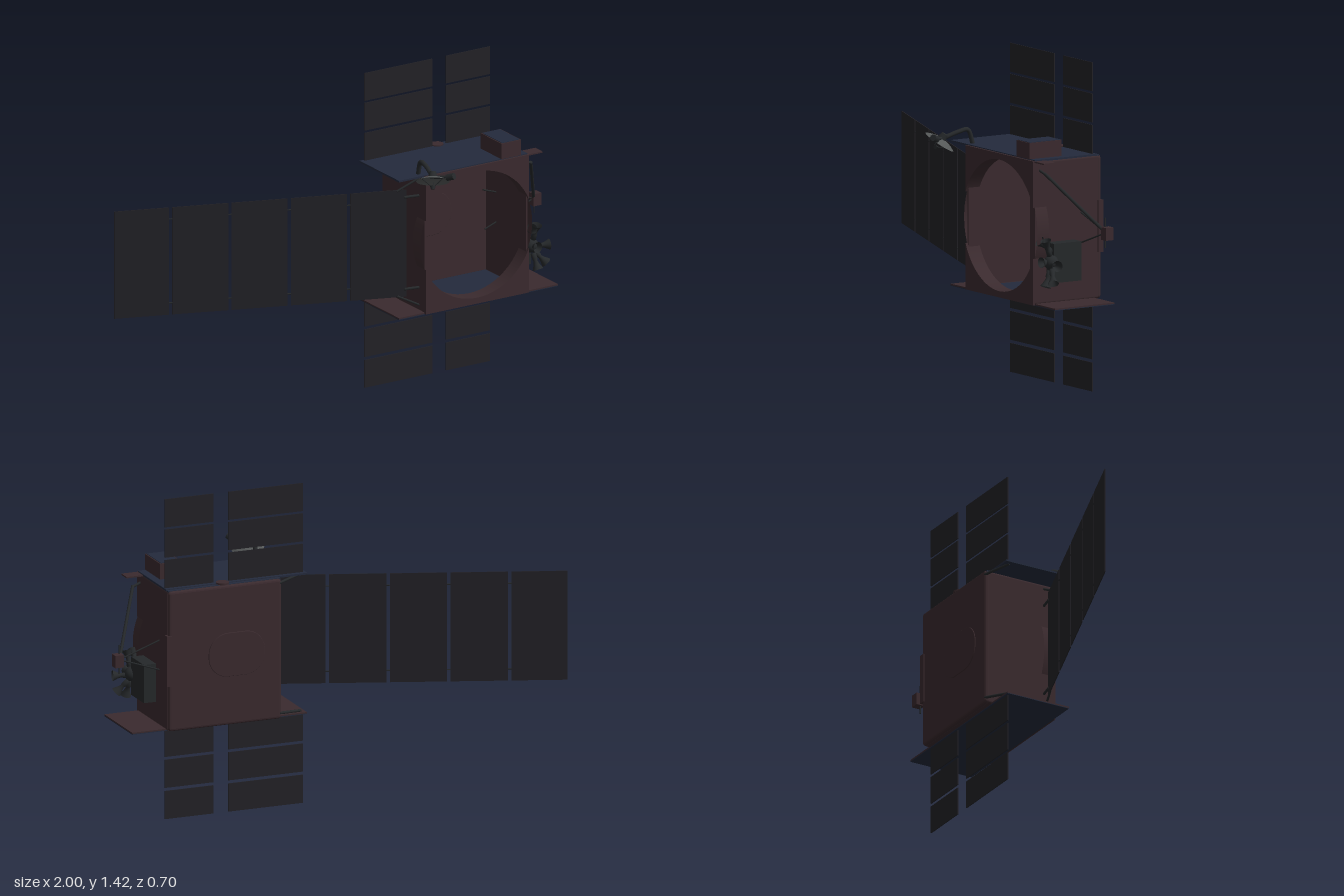
import * as THREE from 'three';

const mat = (color) => new THREE.MeshStandardMaterial({ color, side: THREE.DoubleSide });
const brown = mat(0x3a2a2e), blue = mat(0x232a3c), cell = mat(0x222126), dark = mat(0x25282a), grey = mat(0x555858);
const V = (x, y, z) => new THREE.Vector3(x, y, z);
const UP = V(0, 1, 0);

export function createModel() {
  const model = new THREE.Group();
  const add = (name, geometry, material, parent = model) => {
    const mesh = new THREE.Mesh(geometry, material);
    mesh.name = name;
    parent.add(mesh);
    return mesh;
  };
  // Box given by its lower and upper corner
  const box = (name, a, b, material, parent) => {
    const m = add(name, new THREE.BoxGeometry(b[0] - a[0], b[1] - a[1], b[2] - a[2]), material, parent);
    m.position.set((a[0] + b[0]) / 2, (a[1] + b[1]) / 2, (a[2] + b[2]) / 2);
    return m;
  };
  // Round bar between two points
  const strut = (name, a, b, r, material = dark, parent = model) => {
    const p = V(...a), q = V(...b), d = q.clone().sub(p);
    const m = add(name, new THREE.CylinderGeometry(r, r, d.length(), 8), material, parent);
    m.position.copy(p).add(q).multiplyScalar(0.5);
    m.quaternion.setFromUnitVectors(UP, d.normalize());
    return m;
  };
  const roundRect = (w, h, r, S = THREE.Shape) => {
    const s = new S();
    s.absarc(w - r, h - r, r, 0, Math.PI / 2);
    s.absarc(-w + r, h - r, r, Math.PI / 2, Math.PI);
    s.absarc(-w + r, -h + r, r, Math.PI, Math.PI * 1.5);
    s.absarc(w - r, -h + r, r, Math.PI * 1.5, Math.PI * 2);
    s.closePath();
    return s;
  };
  const extrude = (shape, depth, bevel = 0) => new THREE.ExtrudeGeometry(shape, {
    depth, curveSegments: 24, bevelEnabled: bevel > 0, bevelSize: bevel, bevelThickness: bevel, bevelSegments: 3, bevelOffset: -bevel,
  });

  // Hollow body
  const W = 0.2625, H = 0.312, R = 0.285;
  const body = new THREE.Group();
  body.name = 'body';
  body.position.set(0.523, 0.714, 0);
  model.add(body);
  const shell = roundRect(W, H, 0.012);
  shell.holes.push(roundRect(W - 0.008, H - 0.008, 0.006, THREE.Path));
  add('shellWalls', extrude(shell, 0.322), brown, body).position.z = -0.178;
  add('backWall', extrude(roundRect(W, H, 0.015), 0.002, 0.012), brown, body).position.z = -0.183;
  add('backHatch', extrude(roundRect(0.13, 0.097, 0.09), 0.028, 0.002), brown, body).position.set(-0.053, 0.003, -0.197);
  box('innerFloor', [-W + 0.01, -H + 0.009, -0.168], [W - 0.01, -H + 0.012, 0.14], blue, body);

  // Front frame in two halves around the round opening
  const meet = Math.acos(W / R);
  const half = new THREE.Shape();
  half.moveTo(-W, R * Math.sin(meet));
  half.lineTo(-W, H);
  half.lineTo(W, H);
  half.lineTo(W, R * Math.sin(meet));
  half.absarc(0, 0, R, meet, Math.PI - meet, false);
  for (const turn of [0, Math.PI]) {
    const frame = add('frontFrame', extrude(half, 0.01), brown, body);
    frame.position.z = 0.145;
    frame.rotation.z = turn;
  }
  const ring = add('openingRing', new THREE.CylinderGeometry(R, R, 0.06, 64, 1, true), brown, body);
  ring.rotation.x = Math.PI / 2;
  ring.position.z = 0.117;

  // Decks and body fittings
  box('topDeck', [0.13, 1.022, -0.165], [0.785, 1.03, 0.145], blue);
  box('topRearDeck', [0.262, 1.02, -0.185], [0.783, 1.027, -0.165], blue);
  box('bottomDeck', [0.13, 0.402, -0.16], [0.94, 0.408, 0.145], brown);
  box('bottomDeckUnderside', [0.13, 0.399, -0.16], [0.94, 0.402, 0.145], blue);
  box('sideShelf', [0.78, 1.019, 0.09], [0.86, 1.025, 0.148], brown);
  box('topEquipmentBox', [0.65, 1.03, -0.015], [0.75, 1.1, 0.15], brown);
  box('topEquipmentLid', [0.655, 1.1, -0.01], [0.745, 1.102, 0.145], blue);
  box('rearCornerBar', [0.765, 0.605, -0.2], [0.795, 0.83, -0.175], brown);
  add('topPort', new THREE.CylinderGeometry(0.03, 0.03, 0.008, 8), brown).position.set(0.523, 1.03, -0.163);

  // Upper and lower panel wings
  for (const [x0, x1] of [[0.145, 0.49], [0.56, 0.785]]) {
    for (const y0 of [0.003, 0.142, 0.28, 1.032, 1.168, 1.303]) {
      box('fixedPanel', [x0, y0, -0.152], [x1, y0 + 0.125, -0.148], cell);
    }
  }

  // Long side wing, swept back
  const wing = new THREE.Group();
  wing.name = 'sideWing';
  wing.position.set(0.205, 0.7175, 0.087);
  wing.rotation.y = -Math.atan(0.363);
  model.add(wing);
  const pitch = 0.2605, width = 0.2455;
  for (let i = 0; i < 5; i++) {
    const x = -i * pitch;
    box('wingPanel', [x - width + (i === 4 ? 0.006 : 0), -0.2425, -0.002], [x, 0.2425, 0.002], cell, wing);
    if (i < 4) for (const y of [-0.19, 0.19]) strut('panelHinge', [x - pitch, y, 0], [x - width, y, 0], 0.003, dark, wing);
  }
  for (const s of [-1, 1]) {
    const y = 0.7175 + s * 0.208;
    strut('wingHinge', [0.195, y, 0.085], [0.265, y, 0.1], 0.006);
    strut('wingBrace', [0.165, 0.7175 + s * 0.237, 0.074], [0.262, 0.7175 + s * 0.287, 0.1], 0.005);
    strut('rearBrace', [0.15, 0.7175 + s * 0.305, -0.14], [0.27, 0.7175 + s * 0.29, -0.19], 0.006);
  }

  // Dish antenna on its arm
  const dish = new THREE.Group();
  dish.name = 'dishAntenna';
  dish.position.set(0.225, 1.045, 0.265);
  dish.quaternion.setFromUnitVectors(UP, V(-0.3, -0.82, 0.46).normalize());
  model.add(dish);
  const bowl = [];
  for (let i = 0; i <= 8; i++) {
    const r = 0.072 * i / 8;
    bowl.push(new THREE.Vector2(r, -0.02 + 4 * r * r));
  }
  add('dishBowl', new THREE.LatheGeometry(bowl, 32), grey, dish);
  add('dishHub', new THREE.CylinderGeometry(0.02, 0.014, 0.025, 16), dark, dish).position.y = -0.03;
  add('dishFeed', new THREE.CylinderGeometry(0.008, 0.012, 0.014, 12), dark, dish).position.y = 0.028;
  for (let i = 0; i < 3; i++) {
    const a = i * Math.PI * 2 / 3;
    strut('feedLeg', [0.055 * Math.cos(a), -0.008, 0.055 * Math.sin(a)], [0, 0.028, 0], 0.002, dark, dish);
  }
  const arm = new THREE.CatmullRomCurve3([V(0.25, 1.025, 0.11), V(0.248, 1.09, 0.135), V(0.245, 1.085, 0.18), V(0.235, 1.065, 0.24)]);
  add('dishArm', new THREE.TubeGeometry(arm, 20, 0.01, 8), dark);
  strut('dishSideArm', [0.235, 1.06, 0.26], [0.275, 1.07, 0.315], 0.008);
  strut('dishSideHorn', [0.27, 1.066, 0.308], [0.286, 1.078, 0.338], 0.015);

  // Side boom with its sensor
  const tip = [0.972, 0.72, -0.095];
  strut('boom', [0.82, 0.975, 0.118], tip, 0.007);
  strut('boomFoot', [0.78, 0.985, 0.12], [0.825, 0.97, 0.115], 0.006);
  strut('boomStay', [0.71, 0.81, -0.09], tip, 0.0035);
  strut('boomStay', [0.72, 0.63, -0.09], tip, 0.0035);
  box('boomSensor', [0.96, 0.69, -0.117], [1.0, 0.745, -0.077], brown);
  strut('sensorRod', [0.972, 0.655, -0.092], [0.972, 0.785, -0.092], 0.003);

  // Instrument box with a cluster of horns
  box('instrumentBox', [0.783, 0.5, -0.055], [0.842, 0.67, 0.085], dark);
  add('hornHub', new THREE.SphereGeometry(0.032, 16, 12), dark).position.set(0.835, 0.59, 0.095);
  const profile = [[0, 0], [0.014, 0], [0.014, 0.03], [0.01, 0.04], [0.016, 0.06], [0.028, 0.085]].map((p) => new THREE.Vector2(...p));
  const horns = [
    [0.84, 0.62, 0.105, 0.05, 0.9, 0.3], [0.845, 0.585, 0.1, 0.9, 0, 0.2], [0.84, 0.555, 0.105, 0.1, -0.9, 0.35],
    [0.83, 0.59, 0.075, 0.1, 0.05, 1], [0.85, 0.56, 0.1, 0.6, -0.7, 0.3], [0.82, 0.635, 0.085, -0.1, 0.6, 0.7],
  ];
  for (const [x, y, z, ...d] of horns) {
    const horn = add('horn', new THREE.LatheGeometry(profile, 16), dark);
    horn.position.set(x, y, z);
    horn.quaternion.setFromUnitVectors(UP, V(...d).normalize());
    horn.scale.setScalar(0.85);
  }
  return model;
}
